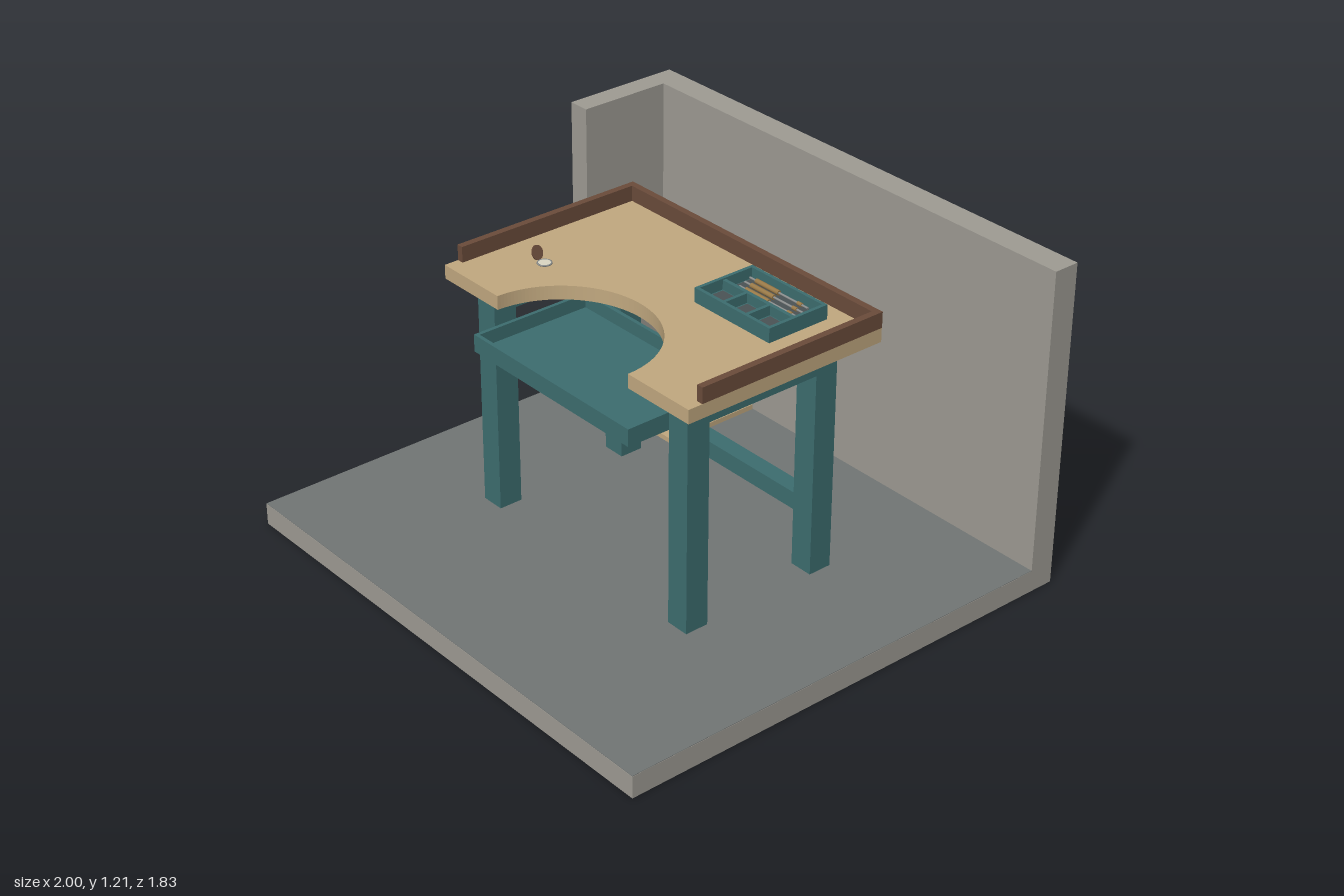
import * as THREE from 'three';

const mat = (color, double) => new THREE.MeshStandardMaterial({ color, side: double ? THREE.DoubleSide : THREE.FrontSide });
const stone = mat(0x9f9c94), floorGrey = mat(0x727675), teal = mat(0x3d6e70), wood = mat(0xc2a980),
  brown = mat(0x6b4c3b), dark = mat(0x4b5356), brass = mat(0x9a7a48), steel = mat(0x8a8d8c), glass = mat(0xdcd8c4);

// Box given by its minimum and maximum on each axis
function box(parent, name, m, x0, x1, y0, y1, z0, z1) {
  const mesh = new THREE.Mesh(new THREE.BoxGeometry(x1 - x0, y1 - y0, z1 - z0), m);
  mesh.position.set((x0 + x1) / 2, (y0 + y1) / 2, (z0 + z1) / 2);
  mesh.name = name;
  parent.add(mesh);
  return mesh;
}

// Open box with a bottom and four walls of thickness t
function openBox(parent, name, x0, x1, y0, y1, z0, z1, t) {
  const g = new THREE.Group();
  g.name = name;
  box(g, name + 'Bottom', teal, x0, x1, y0, y0 + t, z0, z1);
  box(g, name + 'Back', teal, x0, x1, y0 + t, y1, z0, z0 + t);
  box(g, name + 'Front', teal, x0, x1, y0 + t, y1, z1 - t, z1);
  box(g, name + 'Right', teal, x0, x0 + t, y0 + t, y1, z0 + t, z1 - t);
  box(g, name + 'Left', teal, x1 - t, x1, y0 + t, y1, z0 + t, z1 - t);
  parent.add(g);
  return g;
}

function rod(parent, name, m, r, length, x, y, z) {
  const mesh = new THREE.Mesh(new THREE.CylinderGeometry(r, r, length, 12), m);
  mesh.rotation.z = Math.PI / 2;
  mesh.position.set(x, y, z);
  mesh.name = name;
  parent.add(mesh);
}

function buildRoom() {
  const room = new THREE.Group();
  room.name = 'room';
  box(room, 'floorSlab', stone, -1, 1, 0, 0.082, -0.915, 0.915);
  box(room, 'floorCovering', floorGrey, -0.999, 0.999, 0.08, 0.084, -0.82, 0.914);
  box(room, 'backWall', stone, -1, 1, 0.082, 1.21, -0.915, -0.817);
  box(room, 'sideWall', stone, -1, -0.917, 0.082, 1.21, -0.817, -0.46);
  return room;
}

function buildBench() {
  const bench = new THREE.Group();
  bench.name = 'workbench';

  // Top with a rounded bay cut into the front edge
  const s = new THREE.Shape();
  s.moveTo(-0.625, -0.38);
  s.lineTo(-0.335, -0.38);
  s.absellipse(0, -0.38, 0.335, 0.325, Math.PI, 0, true);
  s.lineTo(0.625, -0.38);
  s.lineTo(0.625, 0.432);
  s.lineTo(-0.625, 0.432);
  s.closePath();
  const topGeo = new THREE.ExtrudeGeometry(s, { depth: 0.051, bevelEnabled: false, curveSegments: 40 });
  topGeo.rotateX(-Math.PI / 2);
  const top = new THREE.Mesh(topGeo, wood);
  top.position.y = 0.936;
  top.name = 'benchTop';
  bench.add(top);

  // Raised rim on three sides
  box(bench, 'backRim', brown, -0.625, 0.625, 0.987, 1.045, -0.433, -0.408);
  for (const k of [-1, 1]) {
    const side = k < 0 ? 'right' : 'left';
    const pair = (name, m, a, b, ...rest) =>
      box(bench, side + name, m, Math.min(k * a, k * b), Math.max(k * a, k * b), ...rest);
    pair('Rim', brown, 0.6, 0.625, 0.987, 1.045, -0.408, 0.325);
    pair('FrontLeg', teal, 0.45, 0.54, 0.082, 0.936, 0.22, 0.31);
    pair('BackLeg', teal, 0.45, 0.54, 0.082, 0.936, -0.322, -0.232);
    pair('Apron', teal, 0.45, 0.54, 0.845, 0.936, -0.232, 0.22);
    pair('DrawerRunner', wood, 0.365, 0.45, 0.755, 0.772, -0.04, 0.3);
  }
  box(bench, 'backApron', teal, -0.45, 0.45, 0.845, 0.936, -0.322, -0.232);
  box(bench, 'backStretcher', teal, -0.45, 0.45, 0.287, 0.352, -0.31, -0.245);

  // Pulled-out catch drawer
  openBox(bench, 'drawer', -0.4, 0.4, 0.772, 0.836, -0.04, 0.433, 0.014);
  return bench;
}

function buildTray() {
  const y = 0.987, tray = new THREE.Group();
  tray.name = 'toolTray';
  openBox(tray, 'tray', 0.107, 0.47, y, 1.04, -0.338, -0.087, 0.013);
  box(tray, 'trayLongDivider', teal, 0.12, 0.457, y + 0.013, 1.035, -0.212, -0.198);
  for (const x of [0.227, 0.337]) box(tray, 'trayShortDivider', teal, x, x + 0.013, y + 0.013, 1.035, -0.198, -0.1);

  // Dark linings in the compartments
  for (const x of [0.13, 0.25, 0.36]) box(tray, 'cellLining', dark, x, x + 0.088, y + 0.013, y + 0.017, -0.19, -0.107);
  box(tray, 'longLining', dark, 0.128, 0.449, y + 0.013, y + 0.017, -0.318, -0.22);

  // Hand tools lying side by side
  [-0.303, -0.27, -0.237].forEach((z, i) => {
    const shift = (i - 1) * 0.012;
    rod(tray, 'toolShaft', steel, 0.004, 0.28, 0.288 + shift, 1.016, z);
    rod(tray, 'toolHandle', brass, 0.009, 0.11, 0.235 + shift, 1.016, z);
    rod(tray, 'toolCollar', brass, 0.007, 0.02, 0.39 + shift, 1.016, z);
  });
  return tray;
}

// Folding magnifier: flat lens with a tilted cover
function buildMagnifier() {
  const g = new THREE.Group();
  g.name = 'magnifier';
  const ring = new THREE.Mesh(new THREE.TorusGeometry(0.024, 0.003, 8, 28), steel);
  ring.rotation.x = Math.PI / 2;
  ring.position.set(-0.418, 0.991, 0.12);
  ring.name = 'lensRing';
  const lens = new THREE.Mesh(new THREE.CylinderGeometry(0.023, 0.023, 0.003, 28), glass);
  lens.position.copy(ring.position);
  lens.name = 'lens';
  const cover = new THREE.Mesh(new THREE.CylinderGeometry(0.026, 0.026, 0.005, 28), brown);
  cover.scale.z = 0.85;
  cover.rotation.z = -1.2;
  cover.position.set(-0.457, 1.014, 0.12);
  cover.name = 'lensCover';
  g.add(ring, lens, cover);
  return g;
}

export function createModel() {
  const model = new THREE.Group();
  model.name = 'workbenchCorner';
  model.add(buildRoom(), buildBench(), buildTray(), buildMagnifier());
  return model;
}
